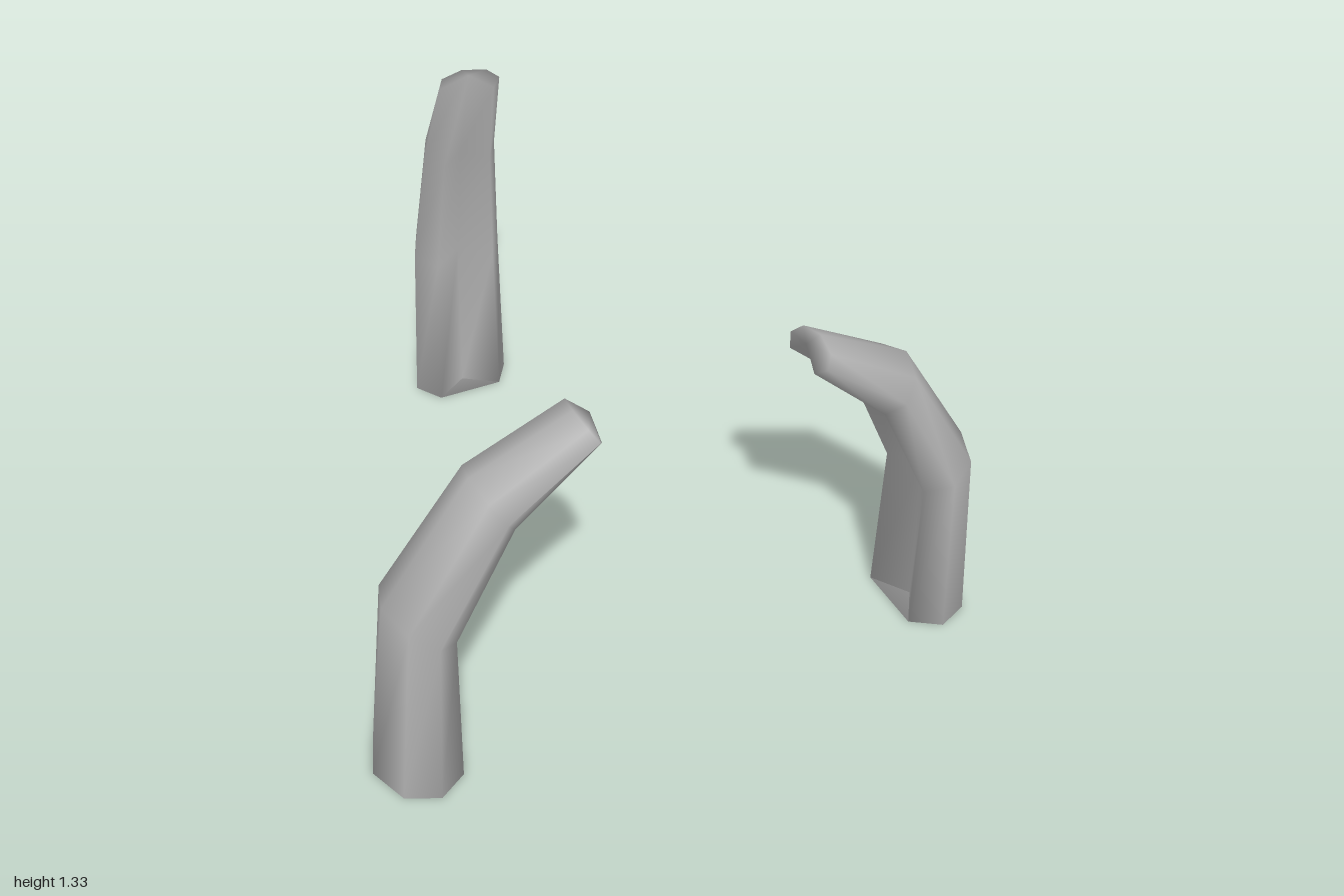
import * as THREE from 'three';

const stone = new THREE.MeshStandardMaterial({ color: 0xb0b0b0, side: THREE.DoubleSide });
stone.name = 'grey stone';

// Cross-section: [fraction from outer to inner side, fraction of half width]
const SECTION = [[0, 0], [0.2, 0.74], [0.62, 1], [1, 0.66], [0.68, 0], [1, -0.66], [0.62, -1], [0.2, -0.74]];
const N = SECTION.length;
const NOTCH = 4;

// Curved pillar leaning towards the centre.
// Each ring: [outer distance, outer y, inner distance, inner y, half width]
function pillar(name, rings, tipNotch) {
  const pos = [];
  const idx = [];
  rings.forEach(([ox, oy, ix, iy, w], j) => {
    SECTION.forEach(([t, s], i) => {
      if (i === NOTCH && j === rings.length - 1) pos.push(tipNotch[0], tipNotch[1], 0);
      else pos.push(ox + (ix - ox) * t, oy + (iy - oy) * t, s * w);
    });
  });
  // Walls
  for (let j = 0; j < rings.length - 1; j++) {
    for (let i = 0; i < N; i++) {
      const a = j * N + i;
      const b = j * N + (i + 1) % N;
      idx.push(a, a + N, b, b, a + N, b + N);
    }
  }
  // Base, bridging the groove
  const base = [1, 2, 3, 5, 6, 7];
  for (let k = 0; k < base.length - 1; k++) idx.push(0, base[k], base[k + 1]);
  // Tip, fanned from the groove
  const top = (rings.length - 1) * N;
  for (let k = 1; k < N - 1; k++) {
    idx.push(top + NOTCH, top + (NOTCH + k + 1) % N, top + (NOTCH + k) % N);
  }
  const geo = new THREE.BufferGeometry();
  geo.setAttribute('position', new THREE.Float32BufferAttribute(pos, 3));
  geo.setIndex(idx);
  geo.computeVertexNormals();
  const mesh = new THREE.Mesh(geo, stone);
  mesh.name = name;
  return mesh;
}

export function createModel() {
  const group = new THREE.Group();
  group.name = 'threePillars';

  const left = pillar('leftPillar', [
    [1, 0, 0.76, 0, 0.172],
    [0.95, 0.62, 0.76, 0.525, 0.156],
    [0.71, 1.0, 0.6, 0.86, 0.127],
    [0.41, 1.15, 0.355, 1.075, 0.104],
  ], [0.365, 1.13]);
  left.position.z = 0.825;

  const right = pillar('rightPillar', [
    [1, 0, 0.76, 0, 0.172],
    [0.94, 0.63, 0.76, 0.52, 0.156],
    [0.67, 1.0, 0.57, 0.85, 0.127],
    [0.36, 1.13, 0.305, 1.05, 0.104],
  ], [0.31, 1.11]);
  right.rotation.y = Math.PI;
  right.position.z = 0.825;

  const back = pillar('backPillar', [
    [1, 0, 0.76, 0, 0.172],
    [0.98, 0.6, 0.765, 0.56, 0.156],
    [0.89, 1.03, 0.72, 0.98, 0.126],
    [0.74, 1.32, 0.64, 1.29, 0.106],
  ], [0.68, 1.33]);
  back.rotation.y = Math.PI / 2;
  back.position.x = -0.03;

  group.add(left, right, back);
  return group;
}
